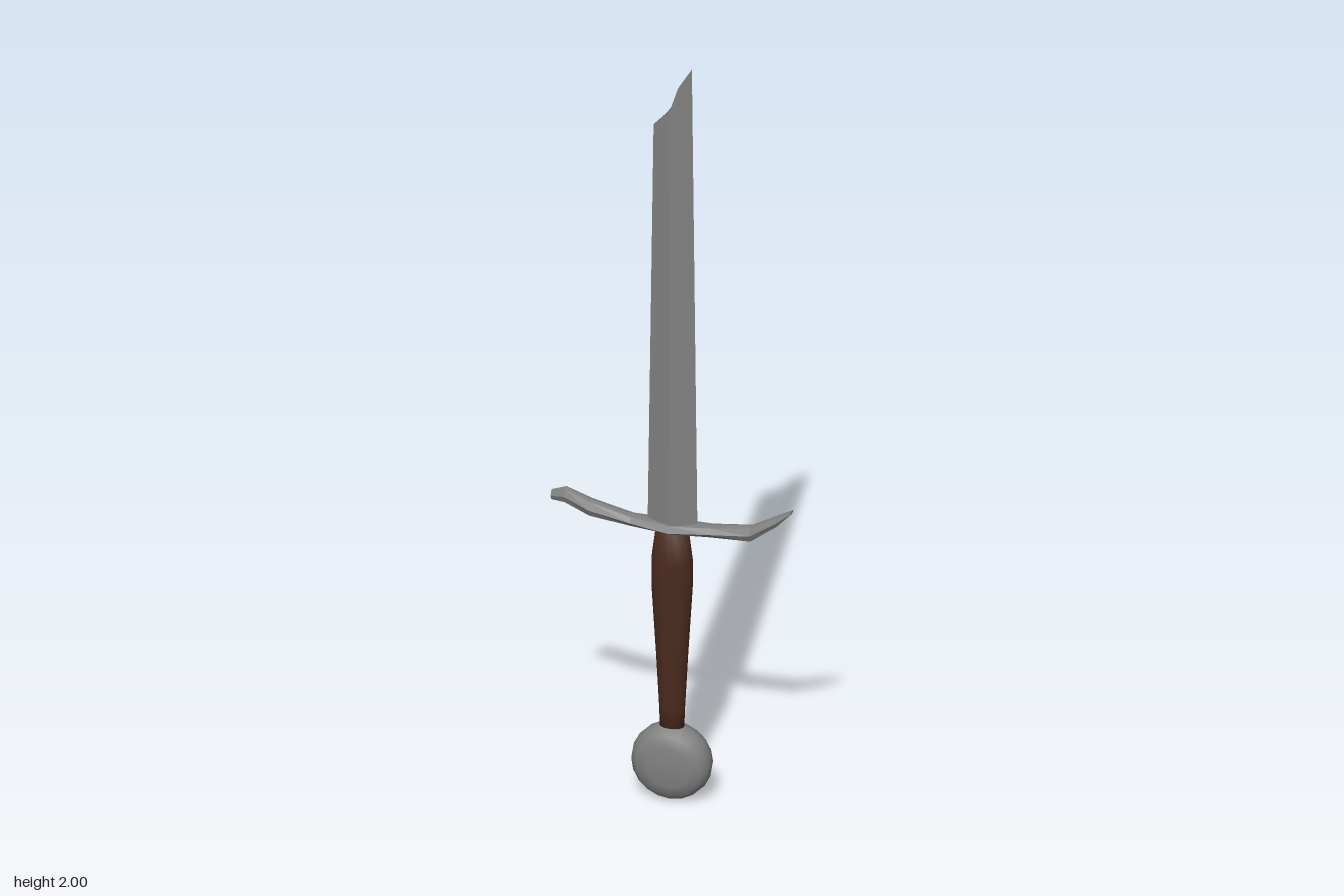
import * as THREE from 'three';

// Skin a run of equal-sized rings, closing both ends with strips across each ring.
function loft(rings) {
  const n = rings[0].length, pos = [];
  const quad = (a, b, c, d) => {
    for (const p of [a, b, c, a, c, d]) pos.push(...p);
  };
  for (let r = 0; r < rings.length - 1; r++) {
    const A = rings[r], B = rings[r + 1];
    for (let i = 0; i < n; i++) {
      const j = (i + 1) % n;
      quad(A[i], A[j], B[j], B[i]);
    }
  }
  const first = rings[0], last = rings[rings.length - 1];
  for (let i = 0; i < n / 2; i++) {
    const k = (n - i) % n, m = n - i - 1;
    quad(first[i], first[k], first[m], first[i + 1]);
    quad(last[i], last[i + 1], last[m], last[k]);
  }
  const g = new THREE.BufferGeometry();
  g.setAttribute('position', new THREE.Float32BufferAttribute(pos, 3));
  g.computeVertexNormals();
  return g;
}

export function createModel() {
  const steel = new THREE.MeshStandardMaterial({ color: 0x808080 });
  const leather = new THREE.MeshStandardMaterial({ color: 0x4a2a1d });
  const group = new THREE.Group();
  const add = (name, geometry, material) => {
    const mesh = new THREE.Mesh(geometry, material);
    mesh.name = name;
    group.add(mesh);
    return mesh;
  };

  // Blade: diamond section, broken off at a jagged slant
  // columns: bottom x, top x, top y, half thickness
  const columns = [
    [-0.062, -0.047, 1.835, 0],
    [-0.026, -0.015, 1.868, 0.014],
    [0, 0, 1.89, 0.021],
    [0.026, 0.017, 1.945, 0.014],
    [0.064, 0.05, 2.0, 0],
  ];
  const around = [...columns.map((c) => [c, 1]), ...columns.slice(1, 4).reverse().map((c) => [c, -1])];
  add('blade', loft([
    around.map(([c, s]) => [c[0], 0.735, s * c[3]]),
    around.map(([c, s]) => [c[1], c[2], s * c[3] * 0.62]),
  ]), steel);

  // Crossguard: upswept bar; stations: x, middle y, half height, half depth
  const stations = [
    [-0.303, 0.782, 0.013, 0.010],
    [-0.268, 0.787, 0.021, 0.015],
    [-0.205, 0.762, 0.022, 0.021],
    [-0.1, 0.744, 0.014, 0.023],
    [0, 0.740, 0.013, 0.040],
    [0.1, 0.744, 0.014, 0.025],
    [0.2, 0.752, 0.021, 0.019],
    [0.265, 0.795, 0.014, 0.015],
    [0.302, 0.825, 0.003, 0.012],
  ];
  add('crossguard', loft(stations.map(([x, y, h, d]) =>
    [[1, 0], [0.85, 0.55], [0, 1], [-0.85, 0.55], [-1, 0], [-0.85, -0.55], [0, -1], [0.85, -0.55]]
      .map(([v, w]) => [x, y + v * h, w * d]))), steel);

  // Grip: oval, swelling toward the guard
  const gripProfile = [
    [0, 0.19], [0.031, 0.195], [0.033, 0.25], [0.041, 0.4],
    [0.052, 0.58], [0.052, 0.65], [0.042, 0.73], [0, 0.735],
  ].map(([r, y]) => new THREE.Vector2(r, y));
  add('grip', new THREE.LatheGeometry(gripProfile, 16).scale(1, 1, 0.71), leather);

  // Pommel: thick rounded disc facing front and back
  const pommelProfile = [
    [0, -0.049], [0.053, -0.047], [0.082, -0.037], [0.097, -0.02], [0.101, 0],
    [0.097, 0.02], [0.082, 0.037], [0.053, 0.047], [0, 0.049],
  ].map(([r, y]) => new THREE.Vector2(r, y));
  const pommel = add('pommel', new THREE.LatheGeometry(pommelProfile, 20).rotateX(Math.PI / 2), steel);
  pommel.position.y = 0.105;
  pommel.position.y = 0.101;
  pommel.scale.y = 1;

  return group;
}
